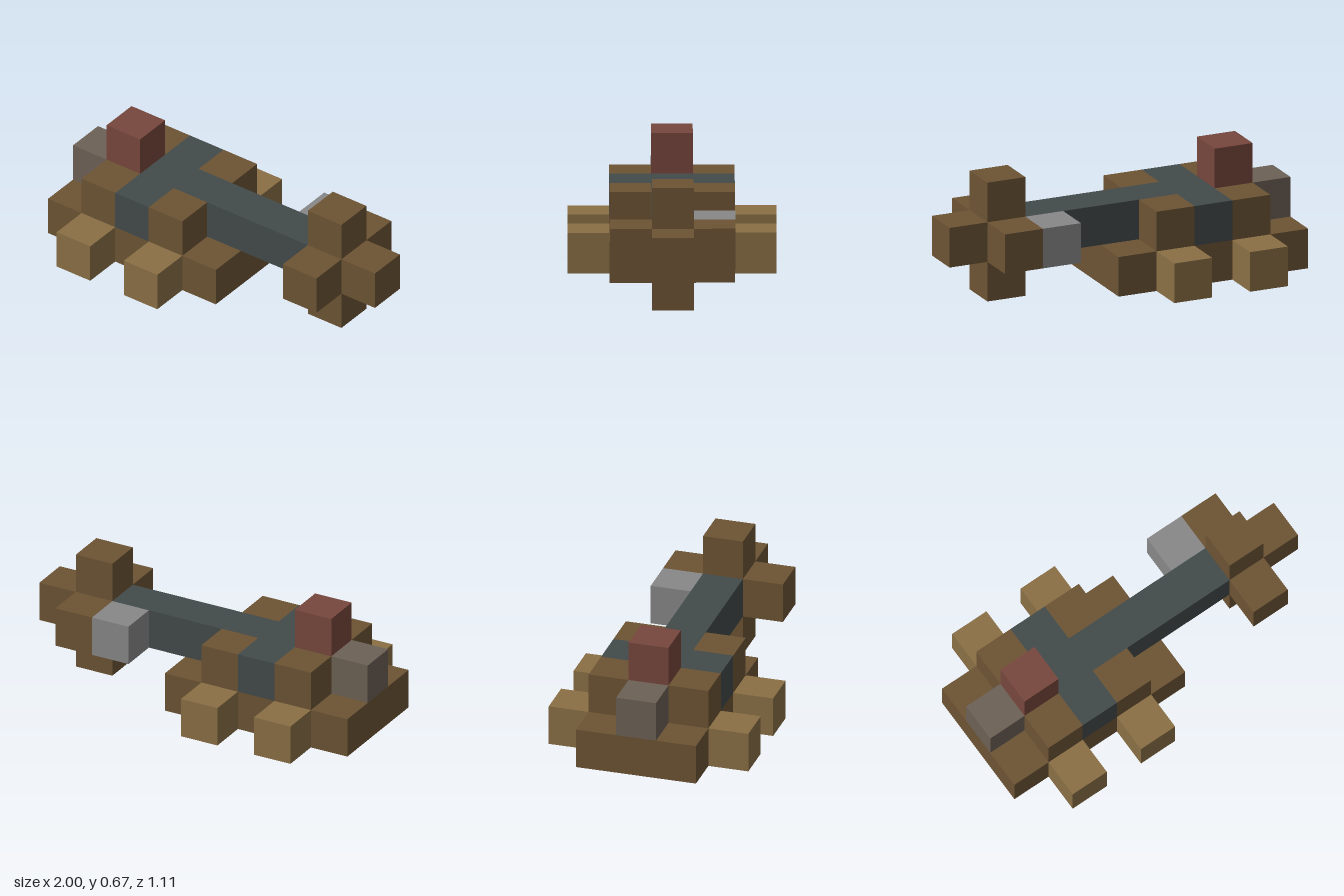
import * as THREE from 'three';

const U = 2 / 9; // edge of one block

const mat = (name, color) => {
  const m = new THREE.MeshStandardMaterial({ color });
  m.name = name;
  return m;
};

export function createModel() {
  const brown = mat('brown wood', 0x6d5434);
  const tan = mat('light wood', 0x8a6f45);
  const slate = mat('slate', 0x434a4a);
  const red = mat('red brick', 0x77473d);
  const taupe = mat('taupe', 0x6d6155);
  const grey = mat('grey stone', 0x888888);
  const dark = mat('dark wood', 0x402b27);

  const model = new THREE.Group();
  model.name = 'blockCraft';

  // Box spanning whole blocks: x from 0 to 8, y from 0 to 2, z from -2 to 2
  const block = (name, material, x, y, z, nx = 1, ny = 1, nz = 1) => {
    const mesh = new THREE.Mesh(new THREE.BoxGeometry(nx * U, ny * U, nz * U), material);
    mesh.name = name;
    mesh.position.set(-1 + (x + nx / 2) * U, (y + ny / 2) * U, (z - 0.5 + nz / 2) * U);
    model.add(mesh);
  };

  // Base: three cross planks joined by centre blocks
  for (const x of [0, 2, 4]) block('basePlank', brown, x, 0, -1, 1, 1, 3);
  for (const x of [1, 3]) {
    block('baseCentre', brown, x, 0, 0);
    for (const side of [-1, 1]) {
      block('axle', dark, x, 0, side);
      block('wheel', tan, x, 0, 2 * side);
      block('wheelArch', brown, x, 1, side);
    }
  }

  // Upper body
  block('endBlock', taupe, 0, 1, 0);
  block('cabinFloor', brown, 1, 1, 0);
  block('cabinTop', red, 1, 2, 0);
  block('crossBeam', slate, 2, 1, -1, 1, 1, 3);
  block('tailBeam', slate, 3, 1, 0, 4);

  // Tail cross with its hub and the side weight
  block('tailUpright', brown, 7, 0, 0, 1, 3, 1);
  for (const side of [-1, 1]) block('tailArm', brown, 7, 1, side);
  block('tailTip', brown, 8, 1, 0);
  block('sideWeight', grey, 6, 1, -1);

  return model;
}
